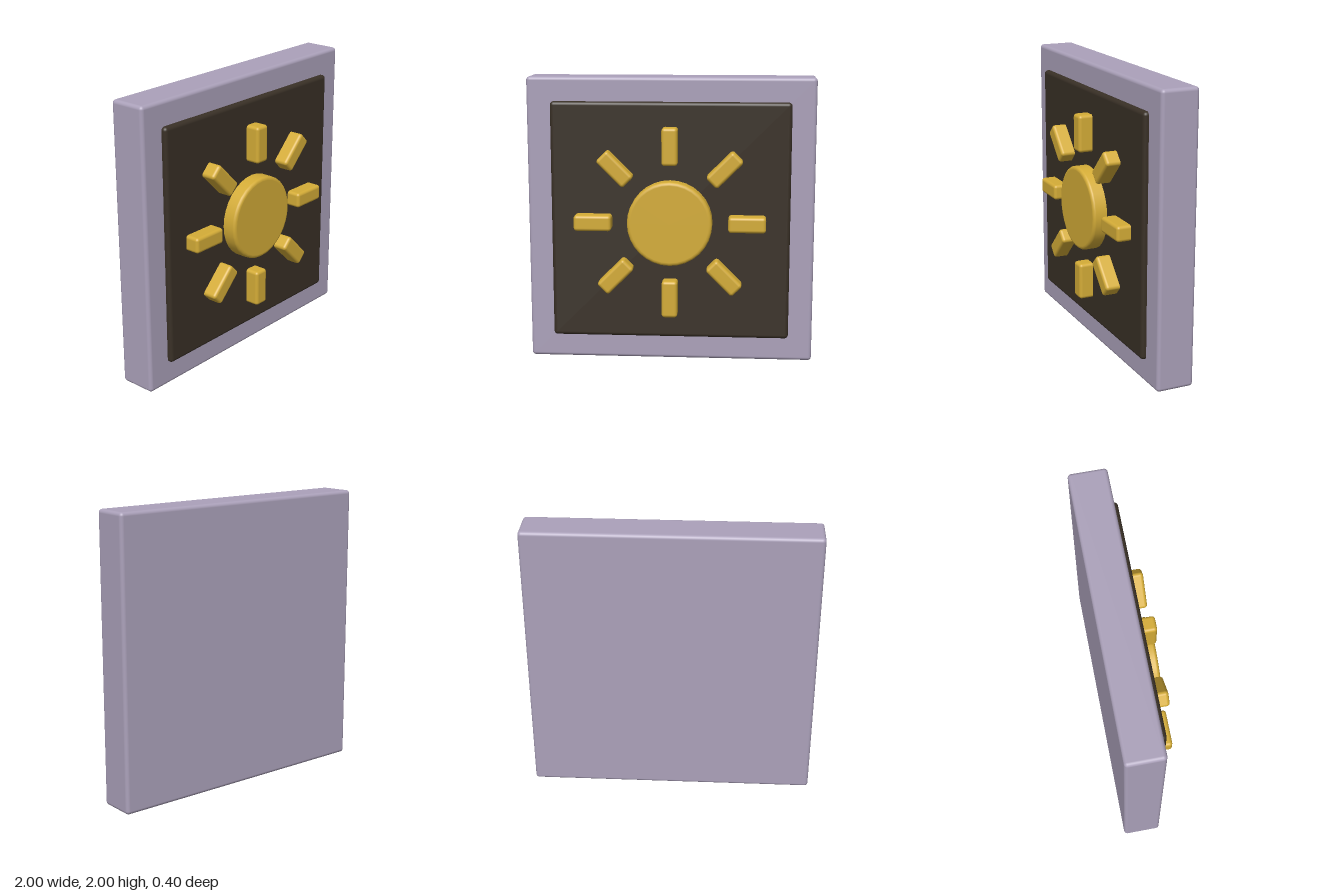
import * as THREE from 'three';
import { RoundedBoxGeometry } from 'three/addons/geometries/RoundedBoxGeometry.js';

const flat = (name, color) => {
  const m = new THREE.MeshStandardMaterial({ color });
  m.name = name;
  return m;
};

export function createModel() {
  const lilac = flat('lilac', 0xaba1ba);
  const darkBrown = flat('dark brown', 0x393026);
  const gold = flat('gold', 0xd4ac37);

  const model = new THREE.Group();
  model.name = 'sunTile';

  const add = (name, geometry, material, x, y, z, parent = model) => {
    const mesh = new THREE.Mesh(geometry, material);
    mesh.name = name;
    mesh.position.set(x, y, z);
    parent.add(mesh);
    return mesh;
  };

  // Square backing block and the dark panel set into its front
  add('frame', new RoundedBoxGeometry(2, 2, 0.265, 4, 0.025), lilac, 0, 1, -0.0675);
  add('panel', new RoundedBoxGeometry(1.665, 1.665, 0.1, 4, 0.025), darkBrown, 0, 1, 0.05);

  // Raised sun emblem
  const sun = new THREE.Group();
  sun.name = 'sun';
  sun.position.set(0, 1, 0.13);
  model.add(sun);

  // Disc with a softened front rim
  const radius = 0.295, half = 0.07, bevel = 0.022;
  const profile = [new THREE.Vector2(radius, -half)];
  for (let i = 0; i <= 4; i++) {
    const a = (i / 4) * Math.PI / 2;
    profile.push(new THREE.Vector2(
      radius - bevel + bevel * Math.cos(a),
      half - bevel + bevel * Math.sin(a)));
  }
  profile.push(new THREE.Vector2(radius - bevel - 0.003, half), new THREE.Vector2(0, half));
  const disc = new THREE.LatheGeometry(profile, 32).rotateX(Math.PI / 2);
  add('sunDisc', disc, gold, 0, 0, 0, sun);

  // Eight rays around the disc
  const rayGeometry = new RoundedBoxGeometry(0.26, 0.11, 0.14, 4, 0.022);
  for (let i = 0; i < 8; i++) {
    const a = i * Math.PI / 4;
    const ray = add('sunRay', rayGeometry, gold, 0.535 * Math.cos(a), 0.535 * Math.sin(a), 0, sun);
    ray.rotation.z = a;
  }

  return model;
}
